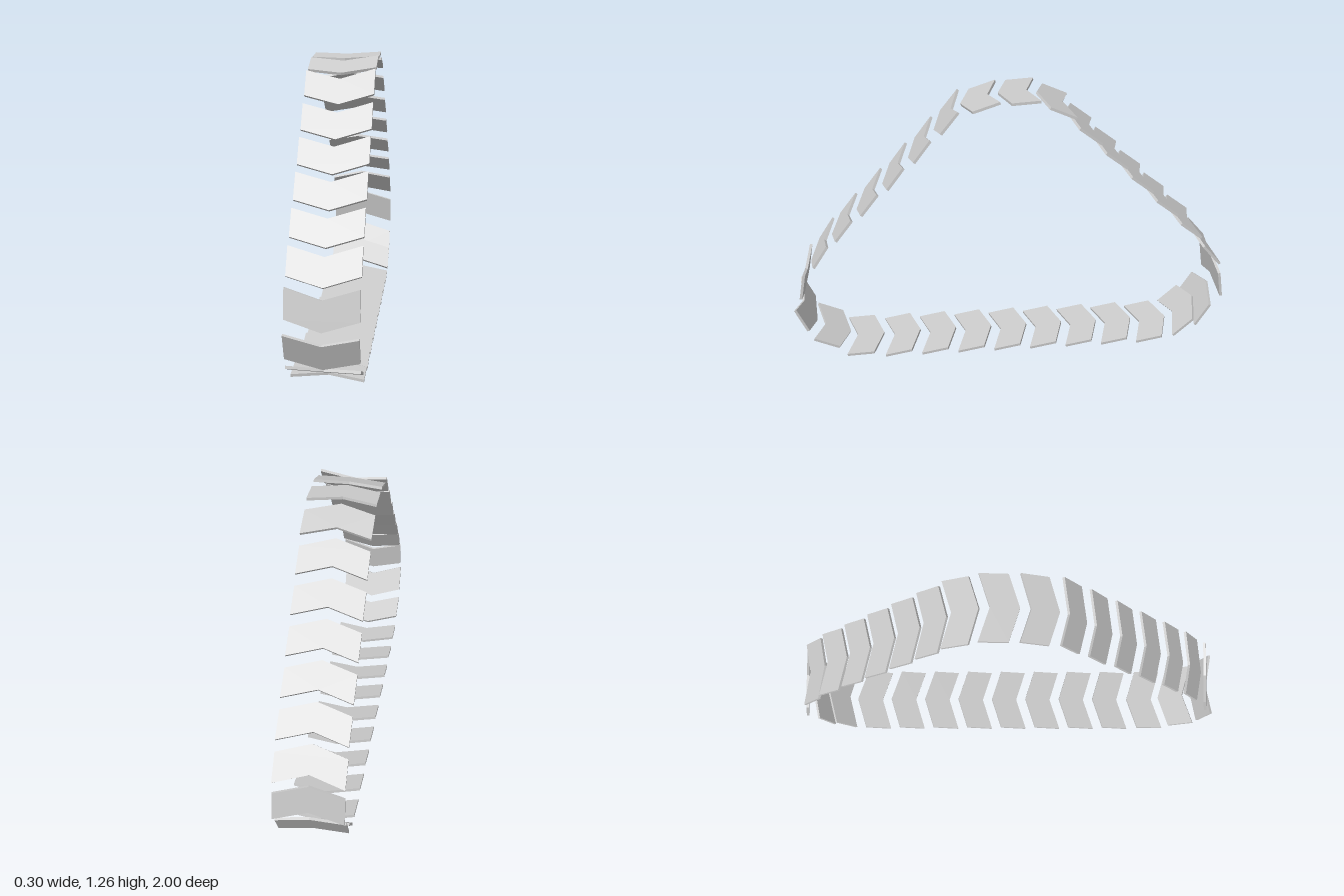
import * as THREE from 'three';

// Flat chevron plate: notch at +y (tail), point at -y (tip), centred on its thickness
const HALF_W = 0.15, HALF_L = 0.086, VEE = 0.047, THICK = 0.012;

function chevronGeometry() {
  const s = new THREE.Shape([
    [-HALF_W, HALF_L], [-HALF_W, VEE - HALF_L], [0, -HALF_L],
    [HALF_W, VEE - HALF_L], [HALF_W, HALF_L], [0, HALF_L - VEE],
  ].map(([x, y]) => new THREE.Vector2(x, y)));
  const g = new THREE.ExtrudeGeometry(s, { depth: THICK, bevelEnabled: false });
  return g.translate(0, 0, -THICK / 2);
}

// Each pad: tail z, tail y, tip z, tip y, sideways lean (outward rise from right to left)
const topPads = [
  [-0.12, 1.255, 0.045, 1.245, 0.006],
  [0.05, 1.253, 0.21, 1.2, 0.012],
];
const frontPads = [
  [0.22, 1.22, 0.33, 1.08, 0.018],
  [0.345, 1.09, 0.445, 0.955, 0.018],
  [0.465, 0.967, 0.565, 0.832, 0.018],
  [0.583, 0.845, 0.687, 0.71, 0.018],
  [0.703, 0.723, 0.806, 0.588, 0.018],
  [0.818, 0.6, 0.91, 0.457, 0.018],
  [0.932, 0.463, 0.963, 0.295, 0.016],
  [0.987, 0.285, 0.918, 0.132, 0.012],
  [0.915, 0.125, 0.765, 0.06, 0.01],
];
const bottomPads = [[0.775, 0.032, 0.6, 0.04, 0.012]];
for (let i = 0; i < 8; i++) {
  const z = 0.595 - i * 0.1705;
  bottomPads.push([z, 0.016, z - 0.166, 0.047, 0.012]);
}
const rearPads = [
  [-0.772, 0.04, -0.897, 0.157, 0.012],
  [-0.875, 0.095, -0.96, 0.237, 0.012],
  [-0.985, 0.245, -0.96, 0.415, 0.012],
  [-0.965, 0.42, -0.857, 0.545, 0.008],
];
for (let i = 0; i < 5; i++) {
  const z = -0.87 + i * 0.12, y = 0.563 + i * 0.122;
  rearPads.push([z, y, z + 0.133, y + 0.102, 0.003]);
}
rearPads.push([-0.275, 1.175, -0.122, 1.243, 0.004]);

export function createModel() {
  const model = new THREE.Group();
  model.name = 'trackLoop';
  const geometry = chevronGeometry();
  const material = new THREE.MeshStandardMaterial({ color: 0xcccccc, flatShading: true });

  const runs = { topPads, frontPads, bottomPads, rearPads };
  for (const [name, pads] of Object.entries(runs)) {
    const run = new THREE.Group();
    run.name = name;
    pads.forEach(([z0, y0, z1, y1, lean], i) => {
      // Local y runs from tip to tail, local z faces out of the loop
      const back = new THREE.Vector3(0, y0 - y1, z0 - z1).normalize();
      const side = new THREE.Vector3(1, 0, 0);
      const out = side.clone().cross(back);
      side.addScaledVector(out, lean / (2 * HALF_W)).normalize();
      out.crossVectors(side, back);
      const pad = new THREE.Mesh(geometry, material);
      pad.name = `${name.slice(0, -1)}${i + 1}`;
      pad.quaternion.setFromRotationMatrix(new THREE.Matrix4().makeBasis(side, back, out));
      pad.position.set(0, (y0 + y1) / 2, (z0 + z1) / 2);
      run.add(pad);
    });
    model.add(run);
  }
  return model;
}
